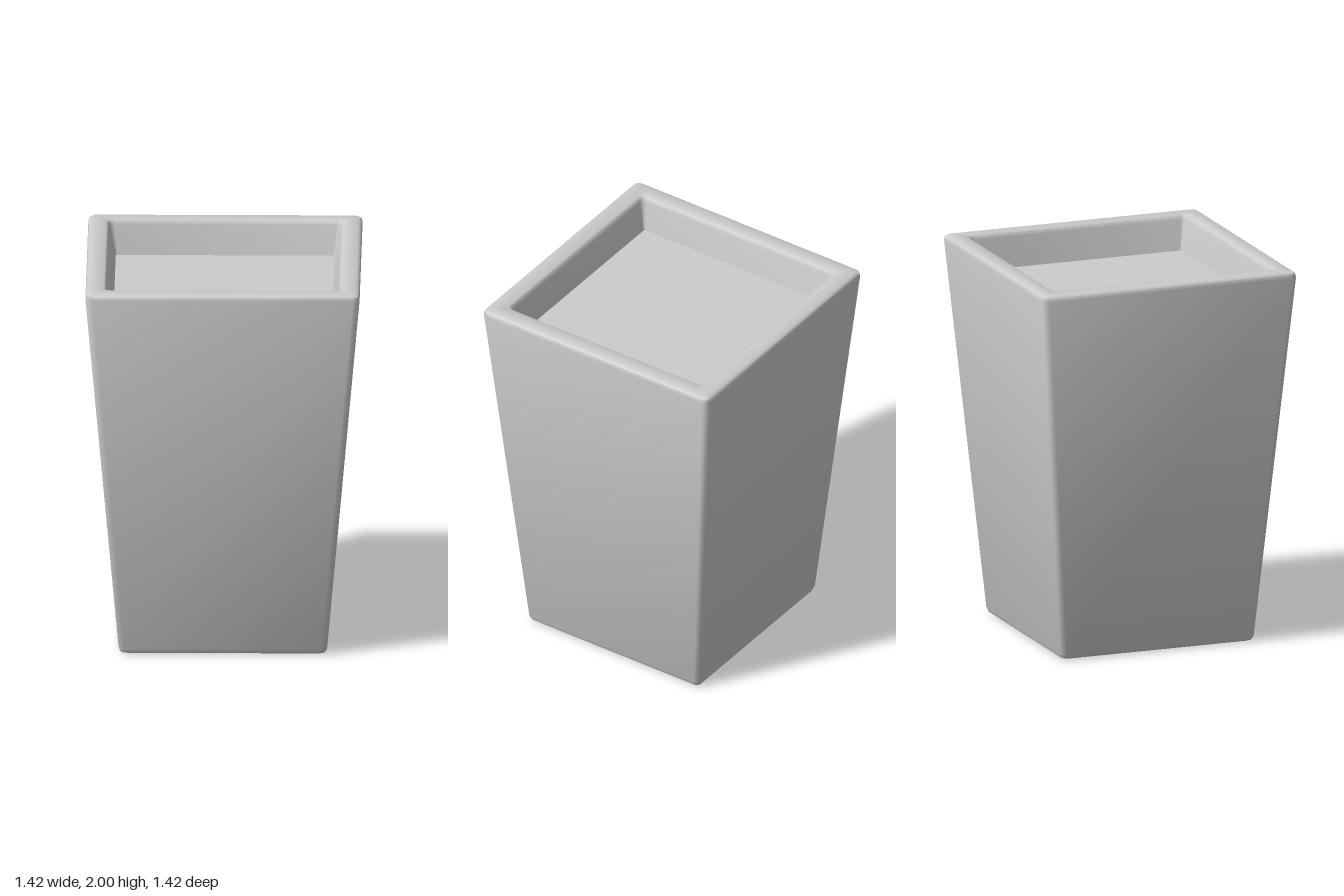
import * as THREE from 'three';
import { toCreasedNormals } from 'three/addons/utils/BufferGeometryUtils.js';

const CORNER_STEPS = 3;

// Square cross-section with rounded corners, counterclockwise from above
function ring([half, y, radius]) {
  const points = [];
  for (let corner = 0; corner < 4; corner++) {
    const mid = Math.PI * (corner / 2 + 0.25);
    const cx = Math.sign(Math.cos(mid)) * (half - radius);
    const cz = -Math.sign(Math.sin(mid)) * (half - radius);
    for (let s = 0; s <= CORNER_STEPS; s++) {
      const t = (Math.PI / 2) * (corner + s / CORNER_STEPS);
      points.push(cx + radius * Math.cos(t), y, cz - radius * Math.sin(t));
    }
  }
  return points;
}

// Skin a stack of rings and close both ends
function loft(sections) {
  const n = 4 * (CORNER_STEPS + 1);
  const last = (sections.length - 1) * n;
  const index = [];
  for (let i = 0; i < last; i += n) {
    for (let j = 0; j < n; j++) {
      const k = (j + 1) % n;
      index.push(i + j, i + k, i + n + k, i + j, i + n + k, i + n + j);
    }
  }
  for (let j = 1; j < n - 1; j++) {
    index.push(0, j + 1, j, last, last + j, last + j + 1);
  }
  const geometry = new THREE.BufferGeometry();
  geometry.setAttribute('position', new THREE.Float32BufferAttribute(sections.flatMap(ring), 3));
  geometry.setIndex(index);
  return toCreasedNormals(geometry, 0.75);
}

export function createModel() {
  const group = new THREE.Group();
  group.name = 'planter';

  // [half width, height, corner radius], from the base up and into the recess
  const sections = [
    [0.51, 0, 0.015],
    [0.53, 0.008, 0.025],
    [0.54, 0.03, 0.03],
    [0.71, 1.97, 0.035],
    [0.705, 1.99, 0.03],
    [0.69, 2, 0.025],
    [0.615, 2, 0.035],
    [0.606, 1.993, 0.03],
    [0.6, 1.975, 0.025],
    [0.567, 1.82, 0.008],
  ];
  const pot = new THREE.Mesh(loft(sections), new THREE.MeshStandardMaterial({ color: 0xcccccc }));
  pot.name = 'taperedPot';
  group.add(pot);
  return group;
}
